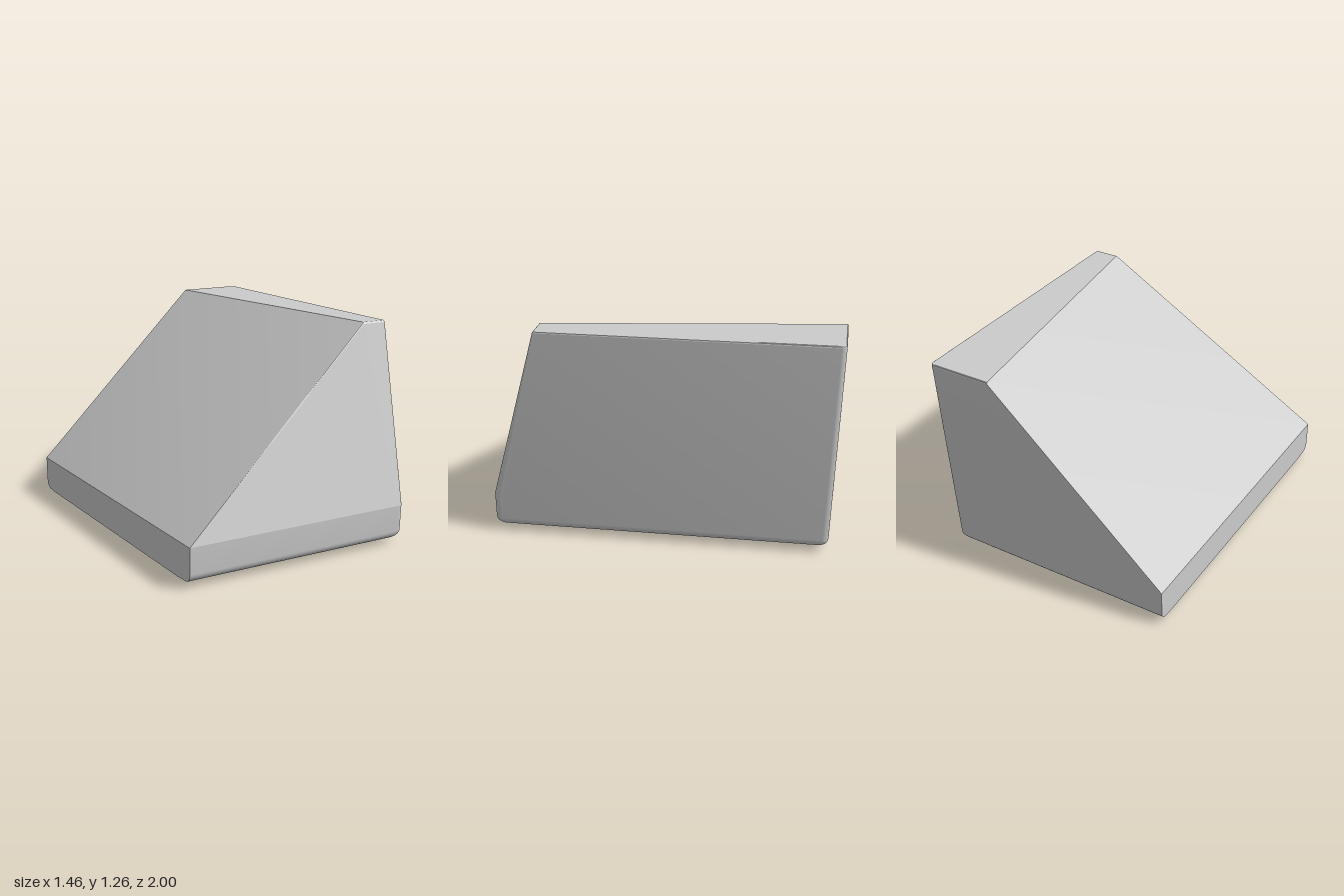
import * as THREE from 'three';
import { ConvexGeometry } from 'three/addons/geometries/ConvexGeometry.js';
import { toCreasedNormals } from 'three/addons/utils/BufferGeometryUtils.js';

const LEFT = -0.735, TOP = 1.265, LIP = 0.23;

// Slightly drafted walls, as functions of height
const rightX = y => 0.682 + 0.041 * (y - 0.1);
const backZ = y => -0.953 - 0.04 * (y - 0.1);
const frontZ = y => 1 - 0.285 * Math.max(0, y - LIP);

// Rounded corner between the right wall and the wall at z (side: +1 front, -1 back)
function corner(points, y, x, z, side, r, steps = 8) {
  for (let i = 0; i <= steps; i++) {
    const a = (i / steps) * Math.PI / 2;
    points.push(new THREE.Vector3(x - r + r * Math.cos(a), y, z - side * (r - r * Math.sin(a))));
  }
}

// Horizontal outline at height y, pulled in by inset; the left end is a flat cut
function section(points, y, inset, leftFront, leftBack, rFront, rBack) {
  const x = rightX(y) - inset, zf = frontZ(y) - inset, zb = backZ(y) + inset;
  points.push(new THREE.Vector3(leftFront, y, zf), new THREE.Vector3(leftBack, y, zb));
  corner(points, y, x, zf, 1, rFront);
  corner(points, y, x, zb, -1, rBack);
}

function wedgeGeometry() {
  const points = [];

  // Rounded lower edge
  const R = 0.05;
  for (let i = 0; i <= 7; i++) {
    const a = (i / 8) * Math.PI / 2;
    section(points, 0.08 - R * Math.sin(a), R * (1 - Math.cos(a)), LEFT, LEFT, 0.045, 0.035);
  }

  // Low lip on the left, then the narrow top with a fine rounded rim
  section(points, LIP, 0, LEFT, LEFT, 0.045, 0.035);
  section(points, TOP - 0.01, 0, 0.575, 0.335, 0.008, 0.03);
  section(points, TOP - 0.003, 0.002, 0.575, 0.34, 0.008, 0.03);
  section(points, TOP, 0.006, 0.575, 0.34, 0.008, 0.03);

  // Shallow bulge of the underside
  for (const [x, y] of [[LEFT, 0.026], [0.25, 0], [0.5, 0]]) {
    points.push(new THREE.Vector3(x, y, 0.86), new THREE.Vector3(x, y, -0.82));
  }
  return toCreasedNormals(new ConvexGeometry(points), 0.24);
}

export function createModel() {
  const group = new THREE.Group();
  group.name = 'wedge';
  const body = new THREE.Mesh(wedgeGeometry(), new THREE.MeshStandardMaterial({ color: 0xcccccc }));
  body.name = 'wedgeBody';
  group.add(body);
  return group;
}
